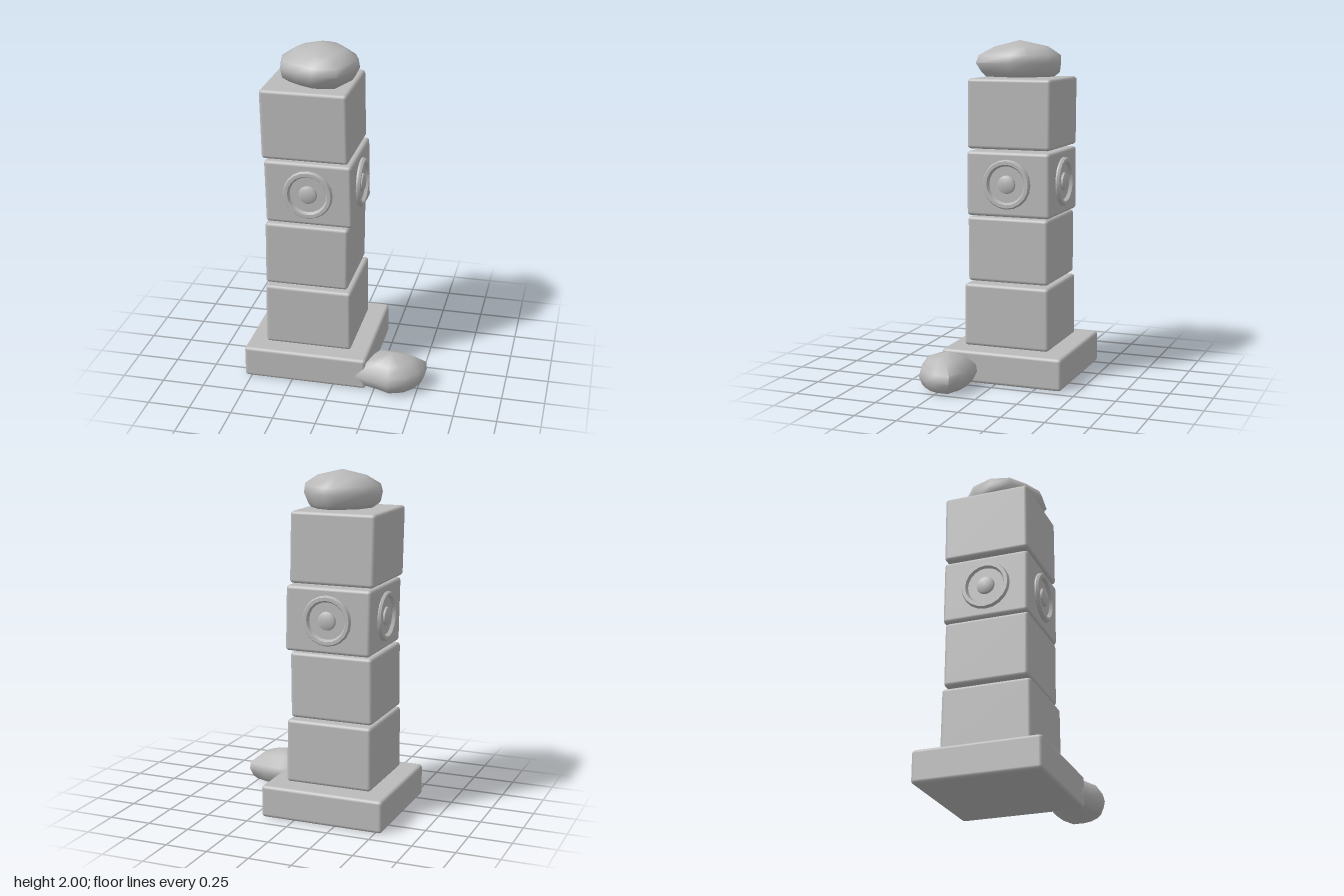
import * as THREE from 'three';
import { toCreasedNormals } from 'three/addons/utils/BufferGeometryUtils.js';
import { RoundedBoxGeometry } from 'three/addons/geometries/RoundedBoxGeometry.js';

const stone = new THREE.MeshStandardMaterial({ color: 0xbababa });
stone.name = 'grey stone';

function addMesh(parent, name, geometry) {
  const mesh = new THREE.Mesh(geometry, stone);
  mesh.name = name;
  parent.add(mesh);
  return mesh;
}

// Bevelled block between two corners; lean shifts the top sideways, taper narrows it
function block(parent, name, [x0, y0, z0], [x1, y1, z1], lean = [0, 0], taper = 0) {
  const h = y1 - y0;
  const geo = new RoundedBoxGeometry(x1 - x0, h, z1 - z0, 2, 0.02);
  const p = geo.attributes.position;
  for (let i = 0; i < p.count; i++) {
    const t = p.getY(i) / h;
    p.setX(i, p.getX(i) * (1 - taper * (t + 0.5)) + lean[0] * t);
    p.setZ(i, p.getZ(i) * (1 - taper * (t + 0.5)) + lean[1] * t);
  }
  const mesh = addMesh(parent, name, geo);
  mesh.position.set((x0 + x1) / 2, (y0 + y1) / 2, (z0 + z1) / 2);
}

// Boulder lofted from one plan outline (clockwise from above); each ring is [y, scale, shiftX, shiftZ]
function boulder(parent, name, outline, [cx, cz], rings, topY) {
  const n = outline.length;
  const pos = [];
  const index = [];
  for (const [y, s, dx, dz] of rings) {
    for (const [x, z] of outline) pos.push(cx + (x - cx) * s + dx, y, cz + (z - cz) * s + dz);
  }
  const bottom = rings.length * n;
  pos.push(cx, rings[0][0], cz, cx, topY, cz);
  for (let i = 0; i < n; i++) {
    const j = (i + 1) % n;
    for (let r = 0; r < rings.length - 1; r++) {
      const a = r * n + i, b = r * n + j;
      index.push(a, a + n, b, b, a + n, b + n);
    }
    const last = (rings.length - 1) * n;
    index.push(bottom, i, j, last + i, bottom + 1, last + j);
  }
  const geo = new THREE.BufferGeometry();
  geo.setAttribute('position', new THREE.Float32BufferAttribute(pos, 3));
  geo.setIndex(index);
  addMesh(parent, name, toCreasedNormals(geo, 1.2));
}

export function createModel() {
  const model = new THREE.Group();
  model.name = 'stonePillar';

  // Plinth and four stacked blocks
  block(model, 'plinth', [-0.54, 0.005, -0.408], [0.2, 0.196, 0.332]);
  block(model, 'lowerBlock', [-0.43, 0.2, -0.293], [0.09, 0.575, 0.234], [0, 0], 0.01);
  block(model, 'middleBlock', [-0.428, 0.588, -0.28], [0.068, 0.974, 0.217], [0.004, 0]);
  block(model, 'carvedBlock', [-0.422, 0.984, -0.296], [0.09, 1.362, 0.215], [-0.006, 0.004]);
  block(model, 'upperBlock', [-0.44, 1.374, -0.29], [0.065, 1.782, 0.22], [-0.008, 0]);

  // Carved medallions: raised rim, sunken ring and central boss
  const profile = [
    [0.145, -0.02], [0.145, 0.012], [0.137, 0.025], [0.118, 0.025], [0.107, 0.006],
    [0.054, 0.006], [0.051, 0.018], [0.038, 0.025], [0, 0.025],
  ].map(([r, y]) => new THREE.Vector2(r, y));
  const medallion = toCreasedNormals(new THREE.LatheGeometry(profile, 20).rotateX(Math.PI / 2), 0.5);
  const places = [
    ['frontMedallion', -0.165, 0.212, 0],
    ['leftMedallion', 0.088, -0.037, Math.PI / 2],
    ['backMedallion', -0.165, -0.292, Math.PI],
    ['rightMedallion', -0.415, -0.037, -Math.PI / 2],
  ];
  for (const [name, x, z, turn] of places) {
    const m = addMesh(model, name, medallion);
    m.position.set(x, 1.176, z);
    m.rotation.y = turn;
  }

  // Boulder resting on top
  boulder(model, 'topBoulder', [
    [-0.19, -0.27], [-0.14, -0.27], [-0.05, -0.24], [0.04, -0.14], [0.08, -0.04], [0, 0.19],
    [-0.14, 0.21], [-0.25, 0.16], [-0.35, 0.09], [-0.38, -0.03], [-0.33, -0.16],
  ], [-0.15, -0.03], [
    [1.79, 0.8, 0, -0.01], [1.815, 0.92, -0.01, -0.01], [1.87, 1, 0, 0],
    [1.915, 0.96, 0, -0.008], [1.965, 0.62, 0, -0.015],
  ], 2.0);

  // Boulder lying beside the plinth
  boulder(model, 'sideBoulder', [
    [0.14, 0.335], [0.2, 0.12], [0.22, 0.1], [0.3, 0.09], [0.42, 0.1], [0.537, 0.145],
    [0.537, 0.235], [0.51, 0.3], [0.445, 0.37], [0.34, 0.407], [0.24, 0.367],
  ], [0.34, 0.24], [
    [0.018, 0.74, 0.01, 0], [0.04, 0.88, 0.005, 0], [0.085, 1, 0, 0],
    [0.13, 0.95, 0.005, -0.005], [0.185, 0.64, 0, 0.01],
  ], 0.22);

  return model;
}
